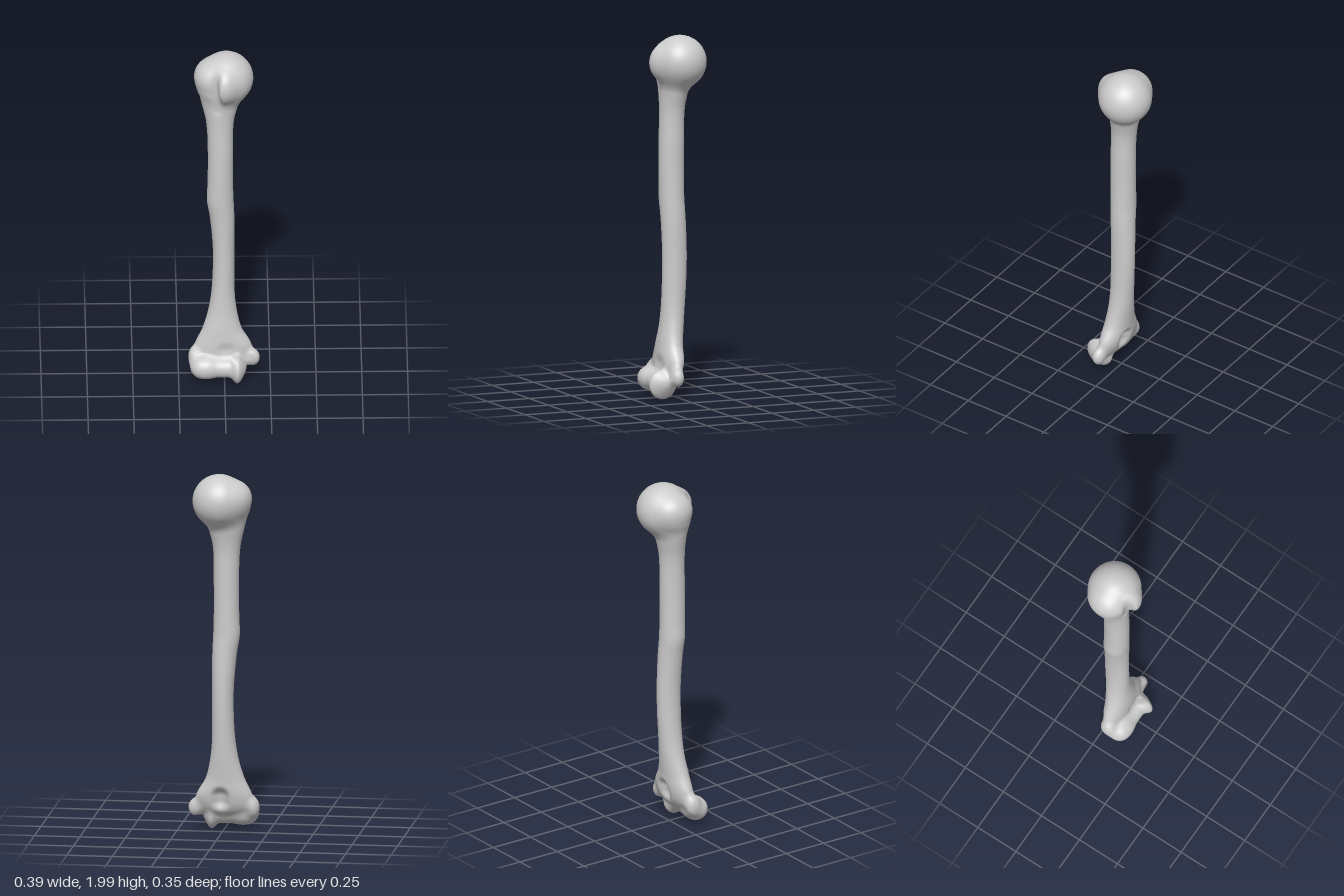
import * as THREE from 'three';

const V = (x, y, z) => new THREE.Vector3(x, y, z);

// Shaft outline per height: y, left x, right x, back z, front z
const outline = [
  [0.08, -0.12, 0.10, 0.025, 0.09],
  [0.14, -0.165, 0.14, -0.015, 0.095],
  [0.20, -0.163, 0.148, -0.035, 0.095],
  [0.30, -0.12, 0.095, -0.045, 0.088],
  [0.40, -0.09, 0.07, -0.055, 0.075],
  [0.50, -0.073, 0.058, -0.063, 0.068],
  [0.65, -0.063, 0.055, -0.072, 0.064],
  [0.80, -0.063, 0.055, -0.075, 0.063],
  [1.00, -0.08, 0.055, -0.07, 0.068],
  [1.10, -0.095, 0.051, -0.066, 0.073],
  [1.20, -0.092, 0.048, -0.065, 0.075],
  [1.40, -0.09, 0.048, -0.065, 0.075],
  [1.60, -0.10, 0.053, -0.07, 0.07],
  [1.70, -0.122, 0.076, -0.088, 0.073],
  [1.80, -0.145, 0.10, -0.11, 0.09],
];
const profile = new THREE.CubicInterpolant(
  outline.map((r) => r[0]), outline.flatMap((r) => r.slice(1)), 4, new Float32Array(4));

// Distance helpers
const smoothMin = (a, b, k) => {
  const h = Math.max(k - Math.abs(a - b), 0) / k;
  return Math.min(a, b) - h * h * k * 0.25;
};
const smoothMax = (a, b, k) => -smoothMin(-a, -b, k);
const ellipsoid = (x, y, z, rx, ry, rz) => {
  const k0 = Math.hypot(x / rx, y / ry, z / rz);
  const k1 = Math.hypot(x / (rx * rx), y / (ry * ry), z / (rz * rz));
  return (k0 * (k0 - 1)) / (k1 + 1e-6);
};
const capsule = (p, a, b, r) => {
  const dx = b.x - a.x, dy = b.y - a.y, dz = b.z - a.z;
  const qx = p.x - a.x, qy = p.y - a.y, qz = p.z - a.z;
  const t = THREE.MathUtils.clamp(
    (qx * dx + qy * dy + qz * dz) / (dx * dx + dy * dy + dz * dz), 0, 1);
  return Math.hypot(qx - t * dx, qy - t * dy, qz - t * dz) - r;
};
const shaftDistance = (p) => {
  const [l, r, b, f] = profile.evaluate(THREE.MathUtils.clamp(p.y, 0.08, 1.8));
  const d = ellipsoid(p.x - (l + r) / 2, 0, p.z - (b + f) / 2, (r - l) / 2, 1, (f - b) / 2);
  return smoothMax(d, Math.max(0.09 - p.y, p.y - 1.8), 0.03);
};

// Rounded masses: centre, radii, blend width
const lumps = [
  [V(0.012, 1.854, -0.031), V(0.147, 0.146, 0.147), 0.04], // ball
  [V(-0.085, 1.868, -0.022), V(0.079, 0.088, 0.1), 0.04], // greater tubercle
  [V(0.0, 1.855, 0.075), V(0.058, 0.085, 0.065), 0.04], // lesser tubercle
  [V(0.155, 0.13, 0.046), V(0.038, 0.048, 0.034), 0.035], // inner epicondyle
  [V(-0.163, 0.135, 0.046), V(0.034, 0.055, 0.044), 0.035], // outer epicondyle
  [V(0.07, 0.087, 0.097), V(0.032, 0.082, 0.079), 0.025], // spool flange
];
// Rods: ends, radius, blend width
const rods = [
  [V(-0.125, 0.097, 0.093), V(-0.1, 0.097, 0.093), 0.062, 0.03], // rounded outer knob
  [V(-0.1, 0.094, 0.092), V(0.06, 0.092, 0.092), 0.056, 0.03], // spool
];
// Hollows: ends, radius, blend width
const hollows = [
  [V(-0.058, 1.93, 0.112), V(-0.045, 1.7, 0.096), 0.022, 0.03], // tendon groove
  [V(0.01, 0.17, -0.04), V(0.01, 0.2, -0.045), 0.045, 0.03], // back fossa
  [V(0.0, 0.2, 0.128), V(0.03, 0.2, 0.128), 0.035, 0.03], // front fossa
];

function field(p) {
  let d = shaftDistance(p);
  for (const [c, r, k] of lumps)
    d = smoothMin(d, ellipsoid(p.x - c.x, p.y - c.y, p.z - c.z, r.x, r.y, r.z), k);
  for (const [a, b, r, k] of rods) d = smoothMin(d, capsule(p, a, b, r), k);
  for (const [a, b, r, k] of hollows) d = smoothMax(d, -capsule(p, a, b, r), k);
  return d;
}

// Centre line from which the skin is projected outwards
const LOW = 0.115, HIGH = 1.86;
const spine = (y) => {
  const s = THREE.MathUtils.smoothstep(y, LOW, 0.45);
  return V(-0.012 * s, y, 0.065 * (1 - s));
};

// Find the outermost surface point along a ray
function project(origin, dir) {
  const p = V(0, 0, 0);
  const at = (t) => field(p.copy(origin).addScaledVector(dir, t));
  let t = 0.3;
  while (t > 0 && at(t) > 0) t -= 0.006;
  let lo = Math.max(t, 0), hi = lo + 0.006;
  for (let i = 0; i < 10; i++) {
    const mid = (lo + hi) / 2;
    if (at(mid) > 0) hi = mid; else lo = mid;
  }
  return p.copy(origin).addScaledVector(dir, lo);
}

function gradient(p) {
  const e = 0.002;
  const diff = (x, y, z) =>
    field(V(p.x + x, p.y + y, p.z + z)) - field(V(p.x - x, p.y - y, p.z - z));
  return V(diff(e, 0, 0), diff(0, e, 0), diff(0, 0, e)).normalize();
}

// Skin a list of [height, tilt] rows
function skin(name, rows, material) {
  const segments = 112, positions = [], normals = [], index = [];
  rows.forEach(([y, tilt], i) => {
    const origin = spine(y);
    for (let j = 0; j <= segments; j++) {
      const a = (j / segments) * Math.PI * 2;
      const dir = V(Math.sin(a) * Math.cos(tilt), Math.sin(tilt), Math.cos(a) * Math.cos(tilt));
      const p = project(origin, dir), n = gradient(p);
      positions.push(p.x, p.y, p.z);
      normals.push(n.x, n.y, n.z);
      if (i && j) {
        const d = i * (segments + 1) + j, c = d - 1, b = d - segments - 1, e = b - 1;
        index.push(e, b, d, e, d, c);
      }
    }
  });
  const geometry = new THREE.BufferGeometry();
  geometry.setAttribute('position', new THREE.Float32BufferAttribute(positions, 3));
  geometry.setAttribute('normal', new THREE.Float32BufferAttribute(normals, 3));
  geometry.setIndex(index);
  const mesh = new THREE.Mesh(geometry, material);
  mesh.name = name;
  return mesh;
}

const steps = (n, fn) => Array.from({ length: n + 1 }, (_, i) => fn(i / n));
const levels = (a, b, n) => steps(n, (t) => [a + (b - a) * t, 0]);

export function createModel() {
  const group = new THREE.Group();
  group.name = 'upperArmBone';
  const material = new THREE.MeshStandardMaterial({ color: 0xcccccc });
  const quarter = Math.PI / 2;
  group.add(
    skin('lowerJoint', [
      ...steps(44, (t) => [LOW, -quarter * (1 - t)]), ...levels(LOW, 0.35, 36).slice(1),
    ], material),
    skin('shaft', levels(0.35, 1.6, 60), material),
    skin('upperJoint', [
      ...levels(1.6, HIGH, 36), ...steps(40, (t) => [HIGH, quarter * t]).slice(1),
    ], material),
  );
  return group;
}
